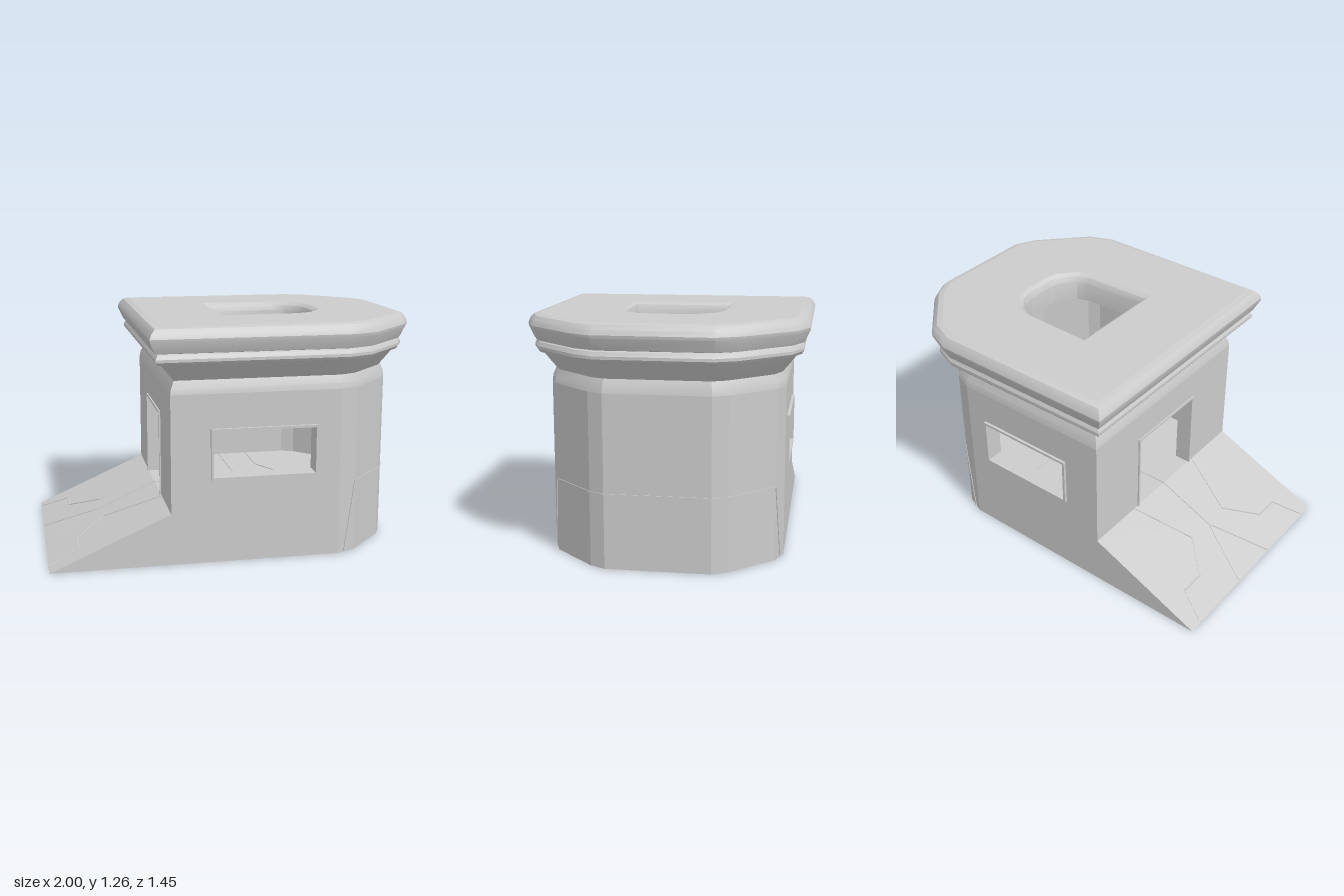
import * as THREE from 'three';
import { toCreasedNormals } from 'three/addons/utils/BufferGeometryUtils.js';

const FLOOR = 0.275, CEILING = 1.1, TOP = 1.255, WALL = 0.08;

// D-shaped plans as [x, z], running from the +z back corner round the curved end
const mirrorPlan = half => [...half, ...half.map(([x, z]) => [x, -z]).reverse()];
const PLAN = mirrorPlan([[-0.37, 0.61], [0.53, 0.61], [0.63, 0.57], [0.84, 0.35], [0.88, 0.27]]);
const HATCH = mirrorPlan([[0, 0.25], [0.36, 0.24], [0.43, 0.215], [0.495, 0.14], [0.51, 0.08]]);

// Push a plan outward by d with mitred corners
function offset(plan, d) {
  const n = plan.length;
  const normal = (a, b) => {
    const dx = b[0] - a[0], dz = b[1] - a[1], l = Math.hypot(dx, dz);
    return [-dz / l, dx / l];
  };
  return plan.map((p, i) => {
    const a = normal(plan[(i + n - 1) % n], p), b = normal(p, plan[(i + 1) % n]);
    const k = d / (1 + a[0] * b[0] + a[1] * b[1]);
    return [p[0] + (a[0] + b[0]) * k, p[1] + (a[1] + b[1]) * k];
  });
}

// Sweep a profile of [offset, y] round a plan; from/to keep an open stretch of it
function sweep(plan, profile, crease, from = 0, to = plan.length) {
  const rings = profile.map(([d, y]) => offset(plan, d).map(([x, z]) => [x, y, z]));
  const pos = [];
  for (let j = 0; j < rings.length - 1; j++) {
    for (let i = from; i < to; i++) {
      const k = (i + 1) % plan.length;
      const a = rings[j][i], b = rings[j][k], c = rings[j + 1][k], d = rings[j + 1][i];
      pos.push(...a, ...b, ...c, ...a, ...c, ...d);
    }
  }
  const g = new THREE.BufferGeometry();
  g.setAttribute('position', new THREE.Float32BufferAttribute(pos, 3));
  return toCreasedNormals(g, crease);
}

const toPoints = pts => pts.map(([x, y]) => new THREE.Vector2(x, y));
const rect = (x0, x1, y0, y1) => [[x0, y0], [x1, y0], [x1, y1], [x0, y1]];

function shapeOf(pts, hole) {
  const s = new THREE.Shape(toPoints(pts));
  if (hole) s.holes.push(new THREE.Path(toPoints(hole)));
  return s;
}
const panel = (pts, hole) => new THREE.ShapeGeometry(shapeOf(pts, hole));
const slab = (plan, y, hole) => panel(plan, hole).rotateX(Math.PI / 2).translate(0, y, 0);

export function createModel() {
  const model = new THREE.Group();
  const material = new THREE.MeshStandardMaterial({ color: 0xcccccc, side: THREE.DoubleSide });
  const add = (name, geometry) => {
    const mesh = new THREE.Mesh(geometry, material);
    mesh.name = name;
    model.add(mesh);
    return mesh;
  };

  // Thin raised seam following a list of 3D points
  const seam = (name, pts, w = 0.007) => {
    const group = new THREE.Group();
    group.name = name;
    for (let i = 0; i < pts.length - 1; i++) {
      const a = new THREE.Vector3(...pts[i]), b = new THREE.Vector3(...pts[i + 1]);
      const bar = new THREE.Mesh(new THREE.BoxGeometry(w, w, a.distanceTo(b)), material);
      bar.position.copy(a).add(b).multiplyScalar(0.5);
      bar.lookAt(b);
      group.add(bar);
    }
    model.add(group);
  };

  // Side walls, including the ramp's cheeks, with framed windows
  const windowHole = rect(-0.15, 0.395, 0.46, 0.705);
  const windowRing = shapeOf(rect(-0.163, 0.408, 0.447, 0.718), windowHole);
  const sideOutline = [[-1, 0], [0.53, 0], [0.53, 0.9], [-0.37, 0.9], [-0.37, FLOOR]];
  for (const s of [1, -1]) {
    const side = s > 0 ? 'left' : 'right';
    add(side + 'Wall', panel(sideOutline, windowHole).translate(0, 0, s * 0.61));
    add(side + 'InnerWall', panel(rect(-0.29, 0.53, FLOOR, CEILING), windowHole)
      .translate(0, 0, s * (0.61 - WALL)));
    add(side + 'WindowFrame', new THREE.ExtrudeGeometry(windowRing, { depth: 0.1, bevelEnabled: false })
      .translate(0, 0, s > 0 ? 0.525 : -0.625));
  }

  // Back wall with the doorway, drawn facing +z and turned to face -x
  const doorHole = rect(-0.24, 0.24, FLOOR, 0.73);
  const aroundDoor = (w, top) => [[-w, FLOOR], [-0.24, FLOOR], [-0.24, 0.73], [0.24, 0.73],
    [0.24, FLOOR], [w, FLOOR], [w, top], [-w, top]];
  add('doorWall', panel(aroundDoor(0.61, 0.9)).rotateY(-Math.PI / 2).translate(-0.37, 0, 0));
  add('doorInnerWall', panel(aroundDoor(0.53, CEILING)).rotateY(-Math.PI / 2).translate(-0.29, 0, 0));
  add('doorFrame', new THREE.ExtrudeGeometry(shapeOf(aroundDoor(0.252, 0.742)),
    { depth: 0.093, bevelEnabled: false }).rotateY(-Math.PI / 2).translate(-0.285, 0, 0));

  // Faceted curved end
  add('curvedWall', sweep(PLAN, [[0, 0], [0, 0.9]], 0.2, 1, 8));
  add('curvedInnerWall', sweep(PLAN, [[-WALL, CEILING], [-WALL, FLOOR]], 0.2, 1, 8));

  // Shoulder and flared neck, narrow band, heavy rounded roof rim
  add('neck', sweep(PLAN, [[0, 0.9], [-0.005, 0.93], [-0.022, 0.97], [0.015, 1.015], [0.05, 1.06]], 0.4));
  add('band', sweep(PLAN, [[0.05, 1.06], [0.072, 1.065], [0.083, 1.08], [0.083, 1.095],
    [0.072, 1.115], [0.06, 1.12]], 0.5));
  add('roofRim', sweep(PLAN, [[0.06, 1.12], [0.085, 1.125], [0.113, 1.185], [0.115, 1.2],
    [0.105, 1.225], [0.085, 1.247], [0.055, TOP]], 0.5));

  // Roof, ceiling and the hatch through them
  add('roof', slab(offset(PLAN, 0.055), TOP, offset(HATCH, 0.037)));
  add('ceiling', slab(offset(PLAN, -WALL), CEILING, HATCH));
  add('hatchRim', sweep(HATCH, [[0.037, TOP], [0.015, 1.24], [0, 1.21], [0, CEILING]], 0.5));

  // Floor and ramp, open underneath
  add('floor', slab(PLAN, FLOOR));
  const run = 0.63;
  add('ramp', new THREE.PlaneGeometry(Math.hypot(run, FLOOR), 1.22).rotateX(-Math.PI / 2)
    .rotateZ(Math.atan2(FLOOR, run)).translate(-1 + run / 2, FLOOR / 2, 0));

  // Paving seams on ramp and floor
  const ground = pts => pts.map(([x, z]) => [x, Math.min(FLOOR, (x + 1) / run * FLOOR), z]);
  seam('rampCentreSeam', ground([[-0.69, 0], [-0.37, 0], [-0.1, 0]]));
  seam('floorCrossSeam', ground([[0.11, -0.5], [0.11, 0.5]]));
  for (const s of [1, -1]) {
    seam('rampForkSeam', ground([[-0.995, s * 0.15], [-0.69, 0]]));
    seam('rampSideSeam', ground([[-0.995, s * 0.53], [-0.84, s * 0.45], [-0.84, s * 0.31],
      [-0.68, s * 0.155], [-0.37, s * 0.28]]));
    seam('floorSeam', ground([[0.41, 0], [0.28, s * 0.25], [0.28, s * 0.5]]));
  }

  // Seam outlining the lower panel of the curved wall
  seam('wallSeam', [[0.57, 0.004, 0.594], ...PLAN.slice(2, 8).map(([x, z]) => [x, 0.39, z]),
    [0.57, 0.004, -0.594]], 0.008);

  return model;
}
